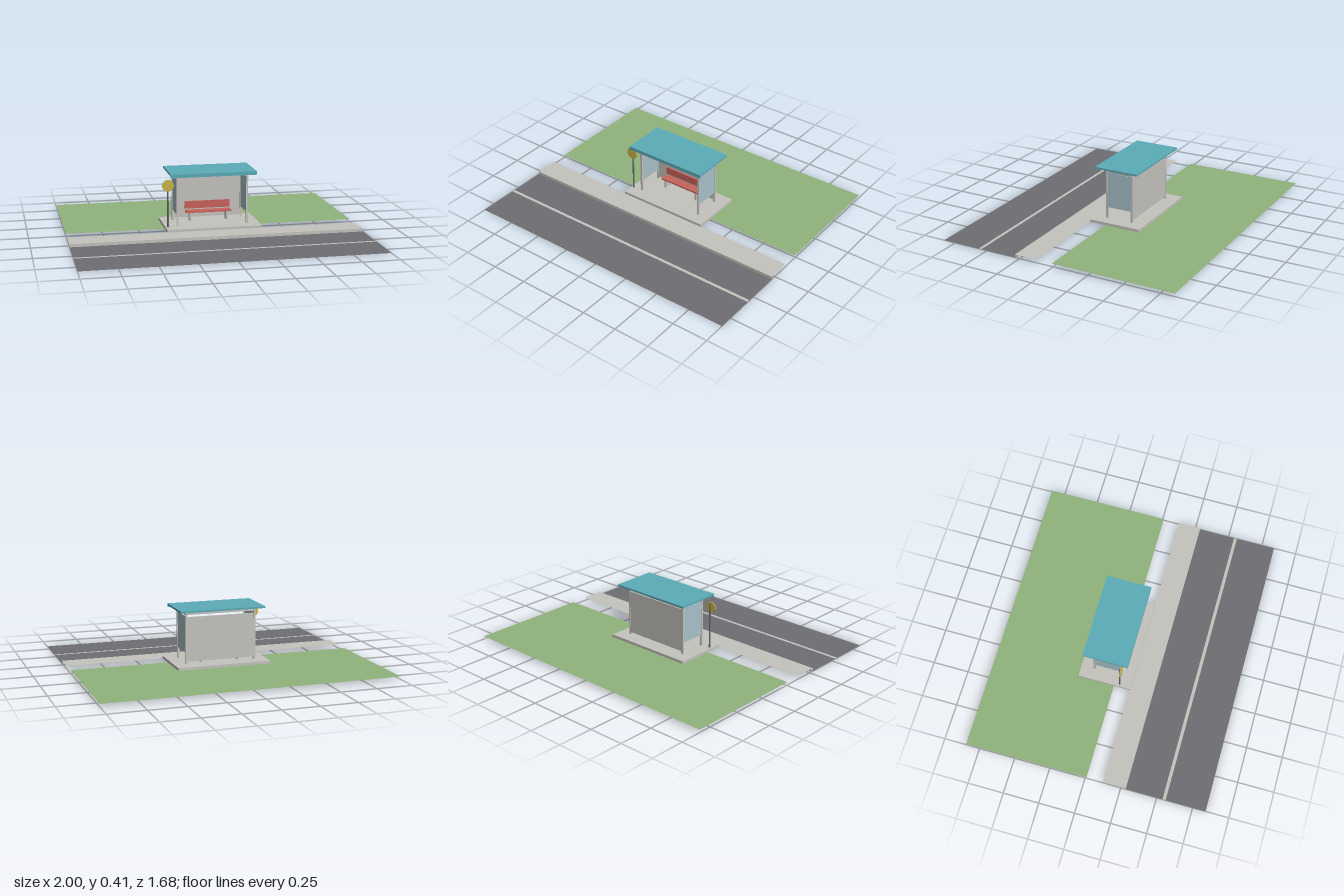
import * as THREE from 'three';

export function createModel() {
  const model = new THREE.Group();
  const paint = (name, color, side = THREE.FrontSide) => {
    const m = new THREE.MeshStandardMaterial({ color, side });
    m.name = name;
    return m;
  };
  const grass = paint('grass green', 0x90b37c, THREE.DoubleSide);
  const asphalt = paint('asphalt', 0x6e6d72, THREE.DoubleSide);
  const concrete = paint('concrete grey', 0xc5c3be, THREE.DoubleSide);
  const teal = paint('roof teal', 0x5cacb8);
  const glass = paint('pale glass', 0xa8c2ca);
  const red = paint('bench red', 0xc9625a);
  const yellow = paint('sign yellow', 0xc9b648);
  const steel = paint('dark steel', 0x6b6a6e);

  const add = (name, geometry, material, parent = model) => {
    const mesh = new THREE.Mesh(geometry, material);
    mesh.name = name;
    parent.add(mesh);
    return mesh;
  };
  // Box given by its limits on each axis
  const box = (name, material, [x0, x1], [y0, y1], [z0, z1], parent) => {
    const g = new THREE.BoxGeometry(x1 - x0, y1 - y0, z1 - z0);
    g.translate((x0 + x1) / 2, (y0 + y1) / 2, (z0 + z1) / 2);
    return add(name, g, material, parent);
  };
  // Flat ground sheet across the full width
  const sheet = (name, material, y, z0, z1) => {
    const g = new THREE.PlaneGeometry(2, z1 - z0).rotateX(-Math.PI / 2);
    g.translate(0, y, (z0 + z1) / 2);
    return add(name, g, material);
  };

  // Ground
  sheet('lawn', grass, 0.02, -0.845, 0.01);
  sheet('pavement', concrete, 0.022, 0.125, 0.28);
  sheet('road', asphalt, 0, 0.28, 0.84);
  sheet('laneLine', concrete, 0.002, 0.541, 0.563);
  box('kerb', concrete, [-1, 1], [0, 0.021], [0.27, 0.285]);
  box('platform', concrete, [-0.328, 0.328], [0.021, 0.04], [-0.245, 0.127]);

  // Shelter frame, walls and roof
  const shelter = new THREE.Group();
  shelter.name = 'shelter';
  model.add(shelter);
  for (const s of [-1, 1]) {
    const span = (a, b) => (s > 0 ? [a, b] : [-b, -a]);
    box('frontPost', concrete, span(0.236, 0.25), [0.04, 0.4], [0.031, 0.045], shelter);
    box('backPost', concrete, span(0.236, 0.25), [0.04, 0.4], [-0.158, -0.144], shelter);
    box('sideRail', concrete, span(0.236, 0.25), [0.376, 0.4], [-0.144, 0.031], shelter);
    box('sideGlass', glass, span(0.24, 0.246), [0.117, 0.366], [-0.144, 0.031], shelter);
  }
  box('frontRail', concrete, [-0.236, 0.236], [0.376, 0.4], [0.031, 0.045], shelter);
  box('backRail', concrete, [-0.236, 0.236], [0.376, 0.4], [-0.158, -0.144], shelter);
  box('backWall', concrete, [-0.24, 0.24], [0.056, 0.36], [-0.155, -0.147], shelter);
  box('roof', teal, [-0.298, 0.298], [0.4, 0.413], [-0.213, 0.1], shelter);
  box('roofLip', teal, [-0.298, 0.298], [0.389, 0.4], [0.094, 0.1], shelter);

  // Bench
  const bench = new THREE.Group();
  bench.name = 'bench';
  model.add(bench);
  box('seat', red, [-0.16, 0.16], [0.1, 0.111], [-0.136, -0.077], bench);
  box('backrest', red, [-0.16, 0.16], [0.118, 0.17], [-0.146, -0.136], bench);
  for (const x of [-0.13, 0.13])
    box('benchLeg', concrete, [x - 0.006, x + 0.006], [0.04, 0.1], [-0.132, -0.081], bench);

  // Stop sign on its pole
  const sign = new THREE.Group();
  sign.name = 'stopSign';
  model.add(sign);
  const pole = add('signPole', new THREE.CylinderGeometry(0.006, 0.006, 0.32, 12), steel, sign);
  pole.position.set(-0.31, 0.2, 0.048);
  const disc = add('signDisc', new THREE.CylinderGeometry(0.04, 0.04, 0.006, 32).rotateX(Math.PI / 2), yellow, sign);
  disc.position.set(-0.31, 0.33, 0.057);

  return model;
}
